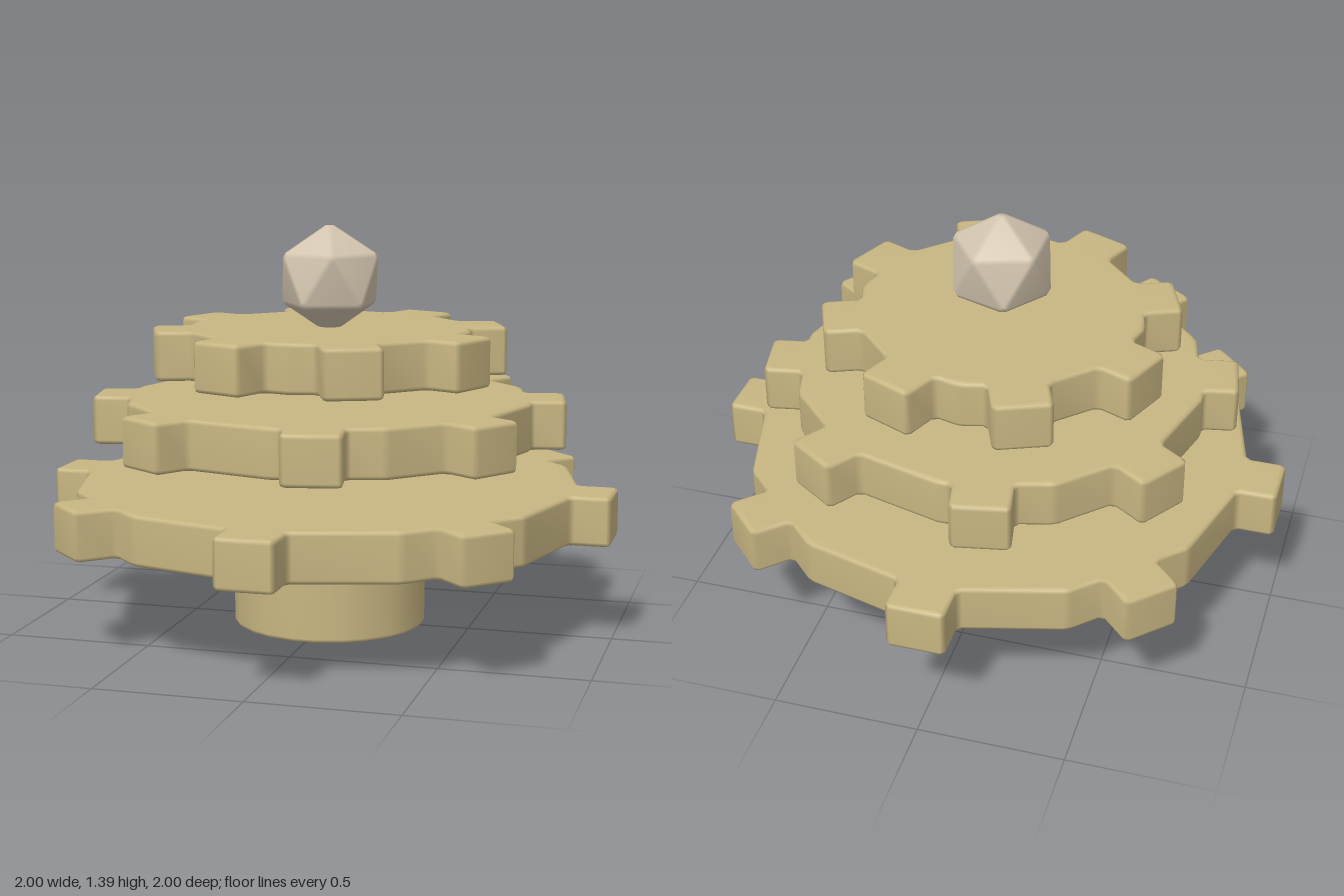
import * as THREE from 'three';
import { mergeVertices } from 'three/addons/utils/BufferGeometryUtils.js';
import { ConvexGeometry } from 'three/addons/geometries/ConvexGeometry.js';

const SIDES = 12, TEETH = 8, BEVEL = 0.015;
const dir = (a) => new THREE.Vector2(Math.cos(a), Math.sin(a));

// Shared, area-weighted normals: broad faces stay flat, narrow bevels shade softly
function softBevels(geometry) {
  geometry.deleteAttribute('normal');
  geometry.deleteAttribute('uv');
  const merged = mergeVertices(geometry, 1e-4);
  merged.computeVertexNormals();
  return merged;
}

// Twelve-sided disc outline with optional square teeth, sorted around the centre
function outline(radius, tip, halfWidth, turn) {
  const step = (Math.PI * 2) / SIDES;
  const apothem = radius * Math.cos(step / 2);
  let points = [];
  for (let i = 0; i < SIDES; i++) points.push(dir(i * step).multiplyScalar(radius));
  const normals = points.map((_, i) => dir((i + 0.5) * step));
  for (let i = 0; tip && i < TEETH; i++) {
    const out = dir(turn + (i * Math.PI * 2) / TEETH);
    const across = new THREE.Vector2(-out.y, out.x);
    // Drop disc corners buried inside this tooth
    points = points.filter((p) => p.dot(out) < 0 || Math.abs(p.dot(across)) > halfWidth || p.length() > radius + 1e-4);
    for (const w of [-halfWidth, halfWidth]) {
      const root = Math.min(...normals.filter((n) => n.dot(out) > 0.3)
        .map((n) => (apothem - w * across.dot(n)) / out.dot(n)));
      for (const reach of [root, tip]) {
        points.push(out.clone().multiplyScalar(reach).addScaledVector(across, w));
      }
    }
  }
  return points.sort((a, b) => a.angle() - b.angle());
}

// Cut every corner of an outline by a small length
function chamfer(points, size) {
  const result = [];
  points.forEach((p, i) => {
    const n = points.length;
    for (const q of [points[(i + n - 1) % n], points[(i + 1) % n]]) {
      const length = p.distanceTo(q);
      result.push(p.clone().lerp(q, Math.min(size / length, 0.4)));
    }
  });
  return result;
}

function slab(name, points, bottom, top, material) {
  const geometry = new THREE.ExtrudeGeometry(new THREE.Shape(points), {
    depth: top - bottom - 2 * BEVEL, bevelEnabled: true, bevelThickness: BEVEL,
    bevelSize: BEVEL, bevelOffset: -BEVEL, bevelSegments: 2,
  });
  geometry.rotateX(-Math.PI / 2);
  geometry.translate(0, bottom + BEVEL, 0);
  const mesh = new THREE.Mesh(softBevels(geometry), material);
  mesh.name = name;
  return mesh;
}

// Icosahedron standing on a corner, with its edges cut
function gemGeometry(radius, cut) {
  const ringY = radius / Math.sqrt(5), ringR = 2 * ringY;
  const ring = (y, turn) => Array.from({ length: 5 }, (_, i) => {
    const a = turn + (i * Math.PI * 2) / 5;
    return new THREE.Vector3(ringR * Math.cos(a), y, ringR * Math.sin(a));
  });
  const upper = ring(ringY, 0), lower = ring(-ringY, Math.PI / 5);
  const top = new THREE.Vector3(0, radius, 0), base = new THREE.Vector3(0, -radius, 0);
  const points = [];
  for (let i = 0; i < 5; i++) {
    const j = (i + 1) % 5;
    const faces = [[top, upper[i], upper[j]], [upper[i], upper[j], lower[i]],
      [lower[i], lower[j], upper[j]], [base, lower[i], lower[j]]];
    for (const face of faces) {
      const centre = new THREE.Vector3();
      face.forEach((v) => centre.addScaledVector(v, 1 / 3));
      face.forEach((v) => points.push(v.clone().lerp(centre, cut)));
    }
  }
  return softBevels(new ConvexGeometry(points));
}

export function createModel() {
  const brass = new THREE.MeshStandardMaterial({ color: 0xc8b682 });
  brass.name = 'brass';
  const stone = new THREE.MeshStandardMaterial({ color: 0xd2c4ae });
  stone.name = 'pale stone';

  const model = new THREE.Group();
  model.name = 'gearTower';

  // Pedestal
  model.add(slab('pedestal', chamfer(outline(0.345), 0.04), 0, 0.35, brass));

  // Three floating gears, each turned a little further
  const gears = [
    ['lowerGear', 0.89, 1.0, 0.34, 0],
    ['middleGear', 0.712, 0.818, 0.635, Math.PI / 16],
    ['upperGear', 0.5, 0.608, 0.875, Math.PI / 8],
  ];
  for (const [name, radius, tip, bottom, turn] of gears) {
    model.add(slab(name, chamfer(outline(radius, tip, 0.1, turn), 0.015), bottom, bottom + 0.17, brass));
  }

  // Gem on top
  const gem = new THREE.Mesh(gemGeometry(0.195, 0.16), stone);
  gem.name = 'gem';
  gem.position.y = 1.21;
  model.add(gem);

  return model;
}
